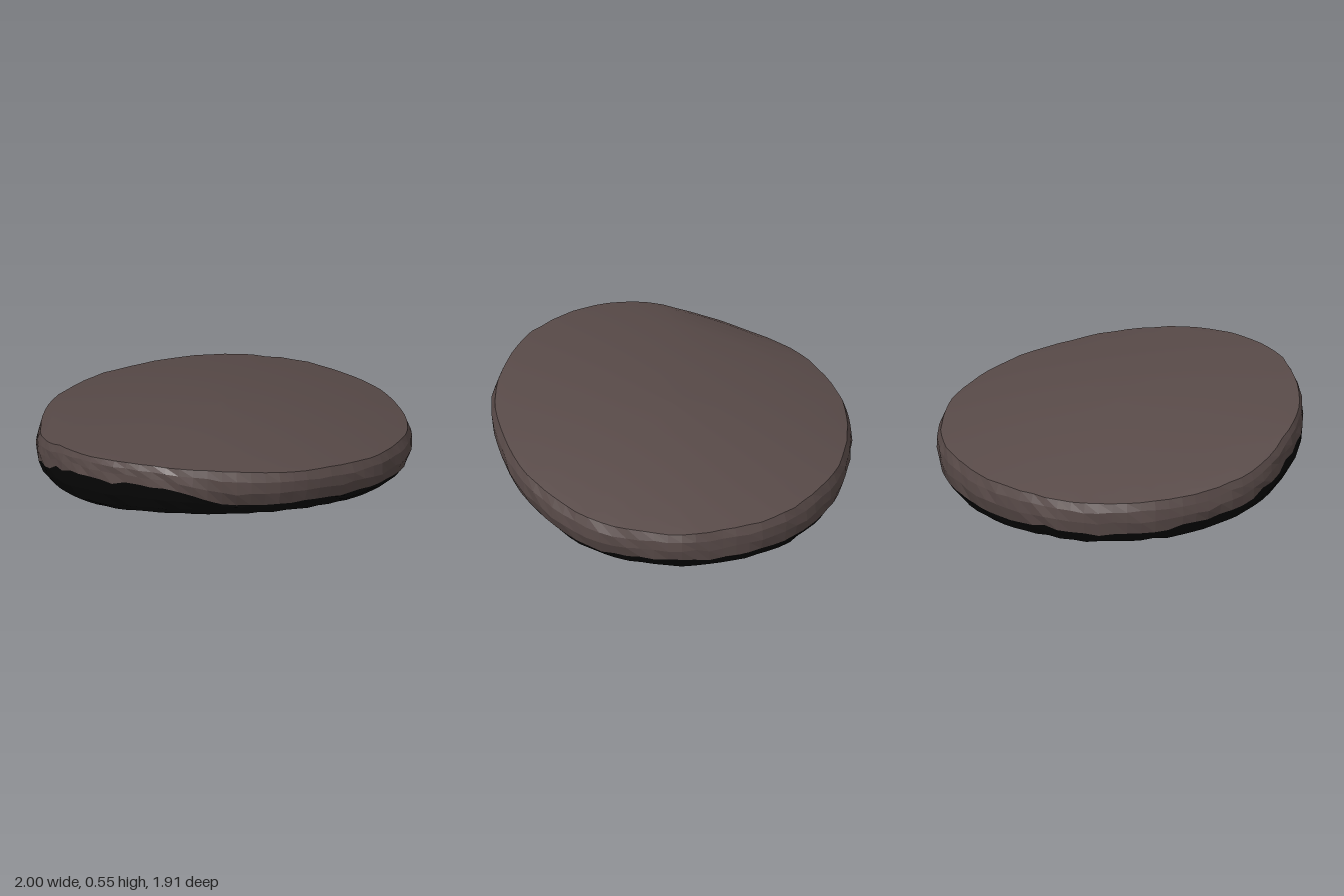
import * as THREE from 'three';

const SEGMENTS = 80;

// Repeatable noise in -1..1
function noise(a, b) {
  const s = Math.sin(a * 127.1 + b * 311.7) * 43758.5453;
  return (s - Math.floor(s)) * 2 - 1;
}

// Linear interpolation through a few [position, value] pairs
function ramp(pairs, t) {
  for (let i = 1; i < pairs.length; i++) {
    const [t0, v0] = pairs[i - 1], [t1, v1] = pairs[i];
    if (t <= t1) return v0 + (v1 - v0) * (t - t0) / (t1 - t0);
  }
  return pairs[pairs.length - 1][1];
}

// Tilted, gently domed upper surface (worn down at its right tip) and the curved underside rim
const topY = (x, z) => 0.475 + 0.138 * z - 0.08 * z * z - 0.13 * x * x - 0.025 * x - 0.035 * x * z
  - 0.04 * Math.exp(-(((x + 1) / 0.08) ** 2));
const rimY = (x, z) => (z > 0 ? 0.05 + 0.1 * z + 0.13 * z * z : 0.05 + 0.065 * z);

const SIDE = [[0, 0.978], [0.12, 0.995], [0.4, 1], [0.7, 0.99], [1, 0.937]];
// How far down the side the dark band begins, from the left side round the front
const BAND = [0.8, 0.8, 0.82, 0.88, 0.88, 0.45, 0.4, 0.42, 0.6, 0.7, 0.75, 0.7, 0.8, 0.7, 0.75, 0.68];

function bandStart(j) {
  const f = (j / SEGMENTS) * BAND.length, i = Math.floor(f);
  const a = BAND[i % BAND.length], b = BAND[(i + 1) % BAND.length];
  return a + (b - a) * (f - i) + noise(j, 51) * 0.04;
}

// One cross-section: from the middle of the top, over the side, to the middle of the ceiling
function section(j) {
  const angle = (j / SEGMENTS) * Math.PI * 2;
  const wobble = 1 + 0.004 * Math.sin(angle * 5 + 1) + 0.003 * Math.sin(angle * 11);
  const at = (r) => [Math.cos(angle) * r * wobble, Math.sin(angle) * r * 0.955 * wobble];
  const points = [];
  const add = (r, height, rough) => {
    const row = points.length;
    const [x, z] = at(r + noise(j, row) * rough);
    points.push(new THREE.Vector3(x, height(x, z) + noise(j, row + 20) * rough, z));
  };
  const [cx, cz] = at(0.937);
  const corner = rimY(cx, cz) + 0.045 + 0.01 * cz;
  const side = (t, rough) => add(ramp(SIDE, t), (x, z) => {
    const top = topY(x, z);
    return top + (corner - top) * t;
  }, rough);

  for (const r of [0, 0.25, 0.5, 0.75, 0.92]) add(r, topY, 0);
  const band = bandStart(j);
  side(0, 0.003);
  side(band * 0.25, 0.004);
  side(band * 0.6, 0.006);
  side(band, 0.005);
  side((band + 1) / 2, 0.005);
  side(1, 0.005);
  add(0.87, (x, z) => rimY(x, z) + 0.012, 0.004);
  add(0.8, rimY, 0.004);
  // Inner edge of the opening, with the hollow widening behind it
  add(0.768, (x, z) => rimY(x, z) + 0.03 + 0.03 * Math.max(z, 0), 0.004);
  const lip = 0.08 + 0.015 * Math.sin(angle * 7) + noise(j, 77) * 0.006;
  add(0.79, (x, z) => rimY(x, z) + lip + 0.03 * z + 0.02 * x, 0.003);
  add(0.83, (x, z) => (rimY(x, z) + topY(x, z)) / 2 + 0.02, 0.005);
  add(0.86, (x, z) => topY(x, z) - 0.07, 0.004);
  for (const r of [0.8, 0.5, 0.25, 0]) add(r, (x, z) => topY(x, z) - 0.055, 0);
  return points;
}

// Skin between two rows of the cross-sections
function skin(sections, first, last, smooth) {
  const positions = [], indices = [], rows = last - first + 1;
  for (const s of sections) for (let i = first; i <= last; i++) positions.push(...s[i].toArray());
  for (let j = 0; j < SEGMENTS; j++) {
    const k = (j + 1) % SEGMENTS;
    for (let i = 0; i < rows - 1; i++) {
      const a = j * rows + i, b = k * rows + i;
      indices.push(a, b, a + 1, b, b + 1, a + 1);
    }
  }
  let geometry = new THREE.BufferGeometry();
  geometry.setAttribute('position', new THREE.Float32BufferAttribute(positions, 3));
  geometry.setIndex(indices);
  if (!smooth) geometry = geometry.toNonIndexed();
  geometry.computeVertexNormals();
  return geometry;
}

export function createModel() {
  const brown = new THREE.MeshStandardMaterial({ color: 0x584a48 });
  brown.name = 'dull brown';
  const black = new THREE.MeshStandardMaterial({ color: 0x060606 });
  black.name = 'charred black';

  const sections = Array.from({ length: SEGMENTS }, (_, j) => section(j));
  // Stand on the ground, centred
  const box = new THREE.Box3().setFromPoints(sections.flat());
  const middle = box.getCenter(new THREE.Vector3()).setY(box.min.y);
  for (const s of sections) for (const p of s) p.sub(middle);

  const group = new THREE.Group();
  group.name = 'hollowDisc';
  const part = (name, first, last, material, smooth) => {
    const mesh = new THREE.Mesh(skin(sections, first, last, smooth), material);
    mesh.name = name;
    group.add(mesh);
  };
  part('topSurface', 0, 5, brown, true);
  part('outerSide', 5, 8, brown, false);
  part('bottomRim', 8, 14, black, false);
  part('innerWall', 14, 16, brown, false);
  part('ceiling', 16, 20, brown, true);
  return group;
}
